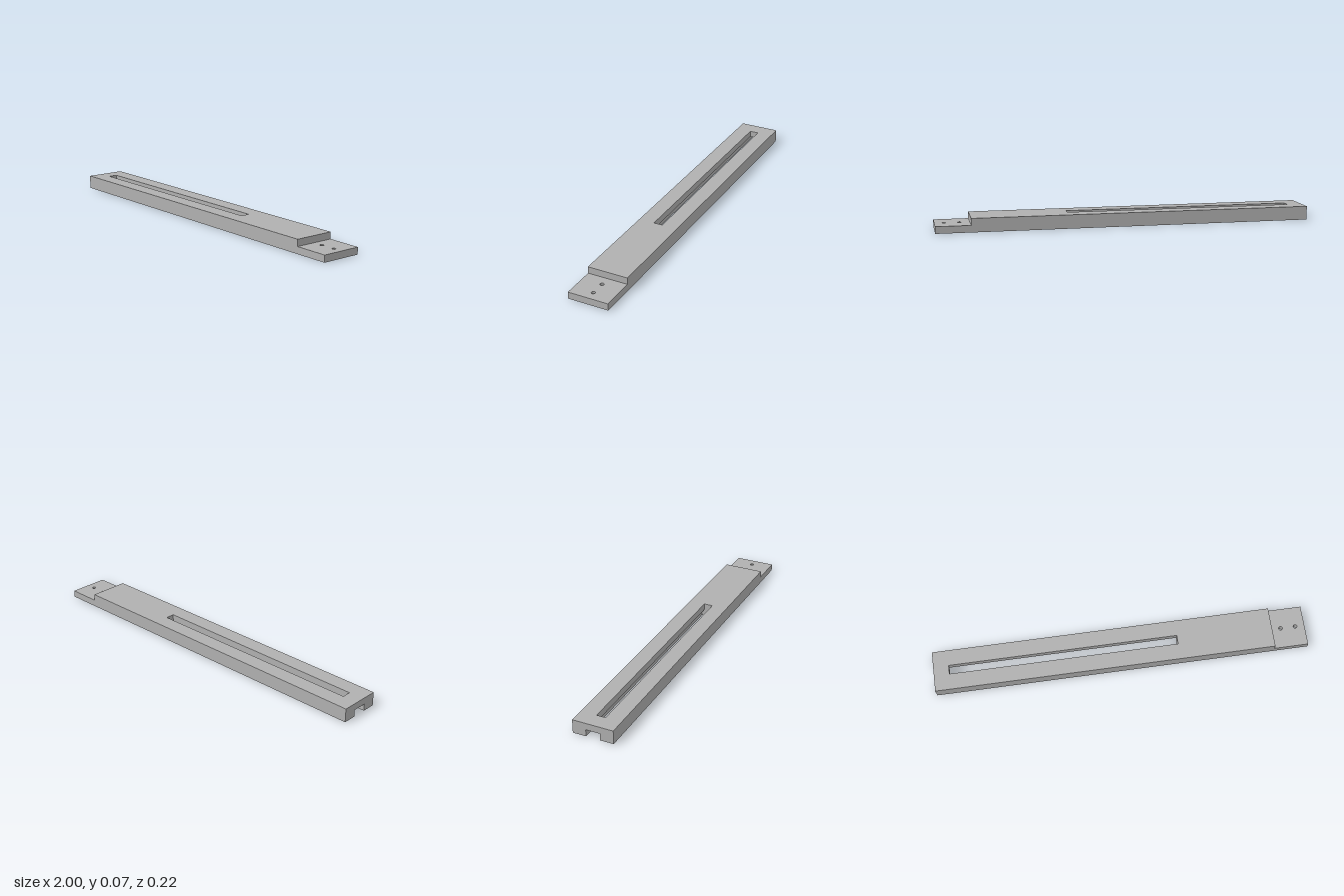
import * as THREE from 'three';

const HALF_W = 0.109, STEP_Y = 0.037, TOP_Y = 0.073;
const STEP_X = 0.817, SLOT_END = 0.305;

// Closed outline from [x, z] corners
const outline = (pts, Type = THREE.Shape) => new Type(pts.map(([x, z]) => new THREE.Vector2(x, z)));
const rect = (x0, x1, h) => [[x0, -h], [x1, -h], [x1, h], [x0, h]];

// Flat plate lying between two heights
function plate(name, shape, y0, y1, material) {
  const geo = new THREE.ExtrudeGeometry(shape, { depth: y1 - y0, bevelEnabled: false, curveSegments: 16 });
  geo.rotateX(-Math.PI / 2).translate(0, y0, 0);
  const mesh = new THREE.Mesh(geo, material);
  mesh.name = name;
  return mesh;
}

export function createModel() {
  const group = new THREE.Group();
  group.name = 'slottedBar';
  const grey = new THREE.MeshStandardMaterial({ color: 0xb0b0b0 });
  grey.name = 'grey';

  // Lower layer: wide channel open at the -x end, screw holes in the tongue
  const c = 0.038;
  const lower = outline([
    [-1, -HALF_W], [1, -HALF_W], [1, HALF_W], [-1, HALF_W],
    [-1, c], [SLOT_END, c], [SLOT_END, -c], [-1, -c],
  ]);
  for (const x of [0.87, 0.95]) {
    lower.holes.push(new THREE.Path().absarc(x, 0, 0.01, 0, Math.PI * 2, true));
  }
  group.add(plate('channelledBase', lower, 0, STEP_Y, grey));

  // Upper layer: narrower closed slot, stops short of the tongue
  const upper = outline(rect(-1, STEP_X, HALF_W));
  upper.holes.push(outline(rect(-0.918, SLOT_END, 0.024), THREE.Path));
  group.add(plate('slottedTop', upper, STEP_Y, TOP_Y, grey));

  return group;
}
